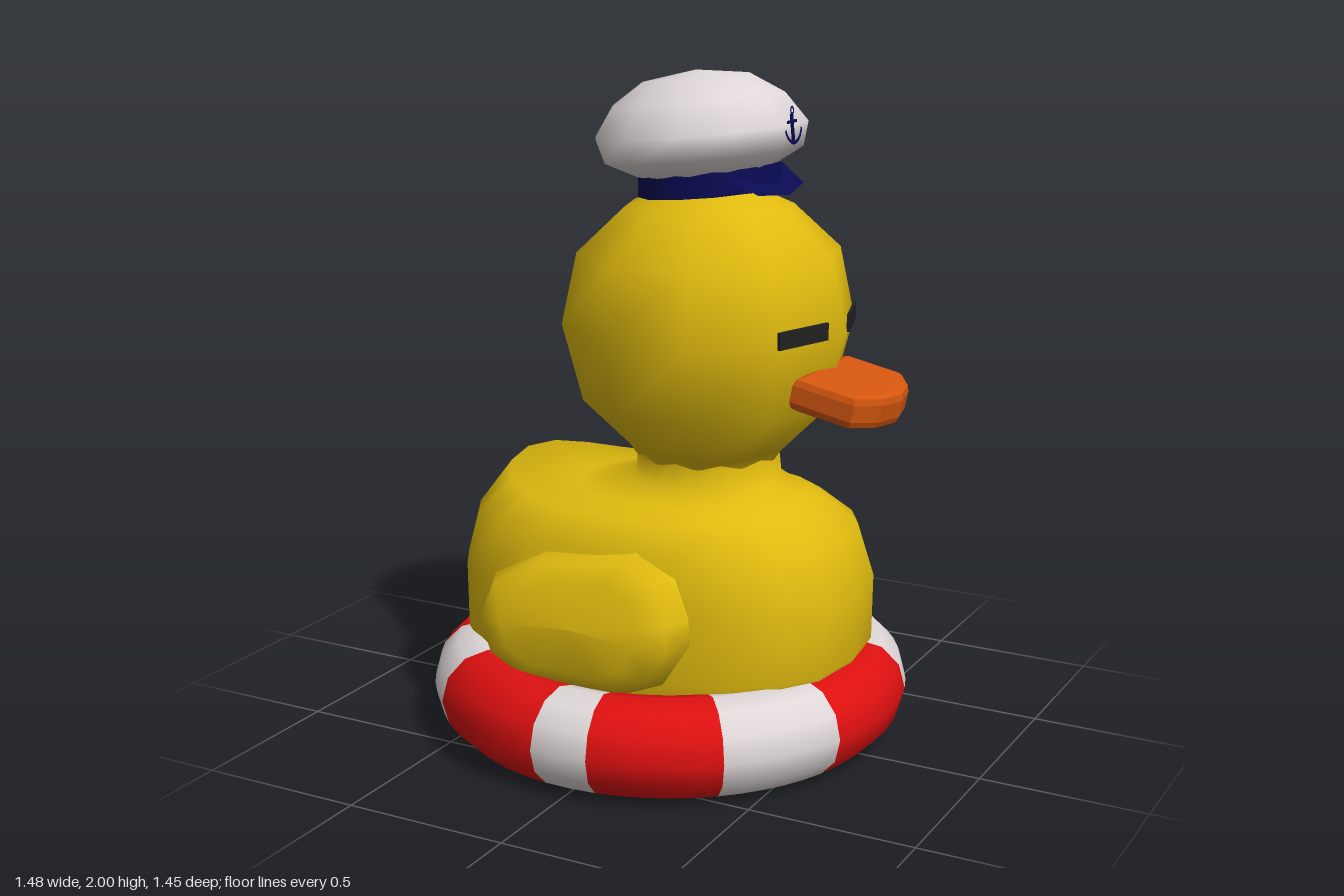
import * as THREE from 'three';

const mat = (name, color, side = THREE.FrontSide) => {
  const m = new THREE.MeshStandardMaterial({ color, side });
  m.name = name;
  return m;
};

// Smooth surface through closed rings of equal point count
function loft(rings) {
  const n = rings[0].length, pos = rings.flat(2), idx = [];
  for (let i = 0; i < rings.length - 1; i++) {
    for (let j = 0; j < n; j++) {
      const a = i * n + j, b = i * n + (j + 1) % n;
      idx.push(a, a + n, b, b, a + n, b + n);
    }
  }
  const g = new THREE.BufferGeometry();
  g.setAttribute('position', new THREE.Float32BufferAttribute(pos, 3));
  g.setIndex(idx);
  g.computeVertexNormals();
  return g;
}

// Horizontal superellipse ring; lift raises its rear (-x) side
function ring(sides, y, cx, rx, rz, power = 2, lift = 0) {
  const e = 2 / power, f = v => Math.sign(v) * Math.abs(v) ** e;
  return Array.from({ length: sides }, (_, j) => {
    const t = j / sides * Math.PI * 2, c = Math.cos(t);
    return [cx + rx * f(c), y + lift * Math.max(0, -c) ** 3, rz * f(Math.sin(t))];
  });
}

export function createModel() {
  const model = new THREE.Group();
  model.name = 'rubberDuck';
  const yellow = mat('yellow', 0xdfba0f, THREE.DoubleSide);
  const red = mat('red', 0xde1010);
  const white = mat('white', 0xdfd7d7);
  const orange = mat('orange', 0xd4560f);
  const navy = mat('navy', 0x0a0a52, THREE.DoubleSide);
  const black = mat('black', 0x202020);
  const add = (parent, name, geo, material, x = 0, y = 0, z = 0) => {
    const m = new THREE.Mesh(geo, material);
    m.name = name;
    m.position.set(x, y, z);
    parent.add(m);
    return m;
  };

  // Swim ring: uneven alternating stripes, angles in degrees from +x towards +z
  const stripes = [-17, 20, 50, 81, 95, 132, 157, 208, 230, 268, 290, 318.5, 343];
  for (let i = 0; i < stripes.length - 1; i++) {
    const arc = THREE.MathUtils.degToRad(stripes[i + 1] - stripes[i]);
    const g = new THREE.TorusGeometry(0.58, 0.145, 12, Math.ceil(arc / 0.13), arc);
    g.rotateZ(THREE.MathUtils.degToRad(stripes[i])).rotateX(Math.PI / 2);
    add(model, i % 2 ? 'ringWhiteStripe' : 'ringRedStripe', g, i % 2 ? white : red, -0.015, 0.145, 0);
  }

  // Hollow body, open below, with raised tail and neck
  add(model, 'body', loft([
    [0.10, -0.02, 0.40, 0.37, 2],
    [0.13, -0.02, 0.47, 0.42, 2.1],
    [0.22, -0.025, 0.58, 0.44, 2.4],
    [0.30, -0.025, 0.625, 0.45, 2.6],
    [0.50, -0.025, 0.628, 0.45, 2.6],
    [0.66, -0.03, 0.585, 0.425, 2.5],
    [0.735, -0.03, 0.49, 0.36, 2.3, 0.068],
    [0.765, 0.05, 0.36, 0.28, 2, -0.015],
    [0.805, 0.115, 0.222, 0.215, 2],
    [0.885, 0.115, 0.212, 0.212, 2],
  ].map(r => ring(20, ...r))), yellow);

  // Ten-sided head
  add(model, 'head', loft([
    [0.87, 0.215], [0.9, 0.235], [1.04, 0.375], [1.27, 0.435],
    [1.48, 0.39], [1.61, 0.25], [1.67, 0.12], [1.68, 0.001],
  ].map(([y, r]) => ring(10, y, 0.115, r, r))), yellow);

  // Wings: a puffed outline leaning inwards at the top
  const outline = [[-0.41, 0.42], [-0.37, 0.54], [-0.2, 0.63], [0.1, 0.67], [0.22, 0.61],
    [0.27, 0.5], [0.275, 0.42], [0.2, 0.3], [0.08, 0.25], [-0.25, 0.25], [-0.37, 0.31]];
  for (const s of [1, -1]) {
    const pts = s > 0 ? outline : [...outline].reverse();
    const cx = -0.06, cy = 0.45;
    const layers = [[0.34, 0.96], [0.455, 1], [0.515, 0.9], [0.545, 0.65], [0.55, 0.001]];
    add(model, s > 0 ? 'leftWing' : 'rightWing', loft(layers.map(([z, k]) => pts.map(([x, y]) => {
      const py = cy + (y - cy) * k;
      return [cx + (x - cx) * k, py, s * (z - 0.22 * Math.max(0, py - 0.42))];
    }))), yellow, s > 0 ? 0 : 0.05, 0, s > 0 ? 0 : -0.01);
  }

  // Flat bill, tilted down
  const bill = new THREE.Shape([[-0.11, -0.155], [0.05, -0.155], [0.095, -0.09], [0.115, 0],
    [0.095, 0.09], [0.05, 0.155], [-0.11, 0.155]].map(p => new THREE.Vector2(...p)));
  const billGeo = new THREE.ExtrudeGeometry(bill, {
    depth: 0.05, bevelThickness: 0.025, bevelSize: 0.02, bevelSegments: 2,
  });
  billGeo.translate(0, 0, -0.025).rotateX(Math.PI / 2);
  add(model, 'bill', billGeo, orange, 0.6, 1.105, 0.022).rotation.z = -0.2;

  // Narrow closed eyes on the two front facets
  for (const s of [1, -1]) {
    const eye = add(model, s > 0 ? 'leftEye' : 'rightEye', new THREE.BoxGeometry(0.009, 0.05, 0.2),
      black, s > 0 ? 0.497 : 0.507, 1.292, s > 0 ? 0.172 : -0.142);
    eye.rotation.y = -s * Math.PI / 10;
  }

  // Sailor cap, tipped back
  const cap = new THREE.Group();
  cap.name = 'sailorCap';
  cap.position.set(0.085, 1.83, 0);
  cap.rotation.z = 0.1;
  model.add(cap);
  const crown = [[-0.125, 0.001], [-0.12, 0.2], [-0.07, 0.295], [0, 0.315], [0.085, 0.255],
    [0.145, 0.16], [0.168, 0.001]];
  const crownGeo = loft(crown.map(([y, r]) => ring(12, y, 0, r, r)));
  add(cap, 'capCrown', crownGeo.rotateY(Math.PI / 12), white);
  add(cap, 'capBand', new THREE.CylinderGeometry(0.205, 0.212, 0.07, 12, 1, true), navy, 0.015, -0.145, 0);

  // Visor: a thin sloping plate
  const visor = new THREE.Shape([[0, -0.19], [0.1, -0.15], [0.13, 0], [0.1, 0.15], [0, 0.19]]
    .map(p => new THREE.Vector2(...p)));
  const visorGeo = new THREE.ShapeGeometry(visor).rotateX(Math.PI / 2);
  add(cap, 'capVisor', visorGeo, navy, 0.16, -0.125, 0).rotation.z = -0.62;

  // Anchor emblem
  const anchor = new THREE.Group();
  anchor.name = 'anchorEmblem';
  anchor.position.set(0.307, -0.005, 0.035);
  cap.add(anchor);
  add(anchor, 'anchorStem', new THREE.BoxGeometry(0.006, 0.08, 0.01), navy, 0, -0.005, 0);
  add(anchor, 'anchorBar', new THREE.BoxGeometry(0.006, 0.008, 0.055), navy, 0, 0.014, 0);
  const flukes = new THREE.RingGeometry(0.05, 0.06, 12, 1, Math.PI * 1.1, Math.PI * 0.8);
  add(anchor, 'anchorFlukes', flukes.rotateY(Math.PI / 2), navy, 0.003, 0.01, 0);
  add(anchor, 'anchorEye', new THREE.RingGeometry(0.006, 0.013, 10).rotateY(Math.PI / 2), navy, 0.003, 0.045, 0);

  return model;
}
